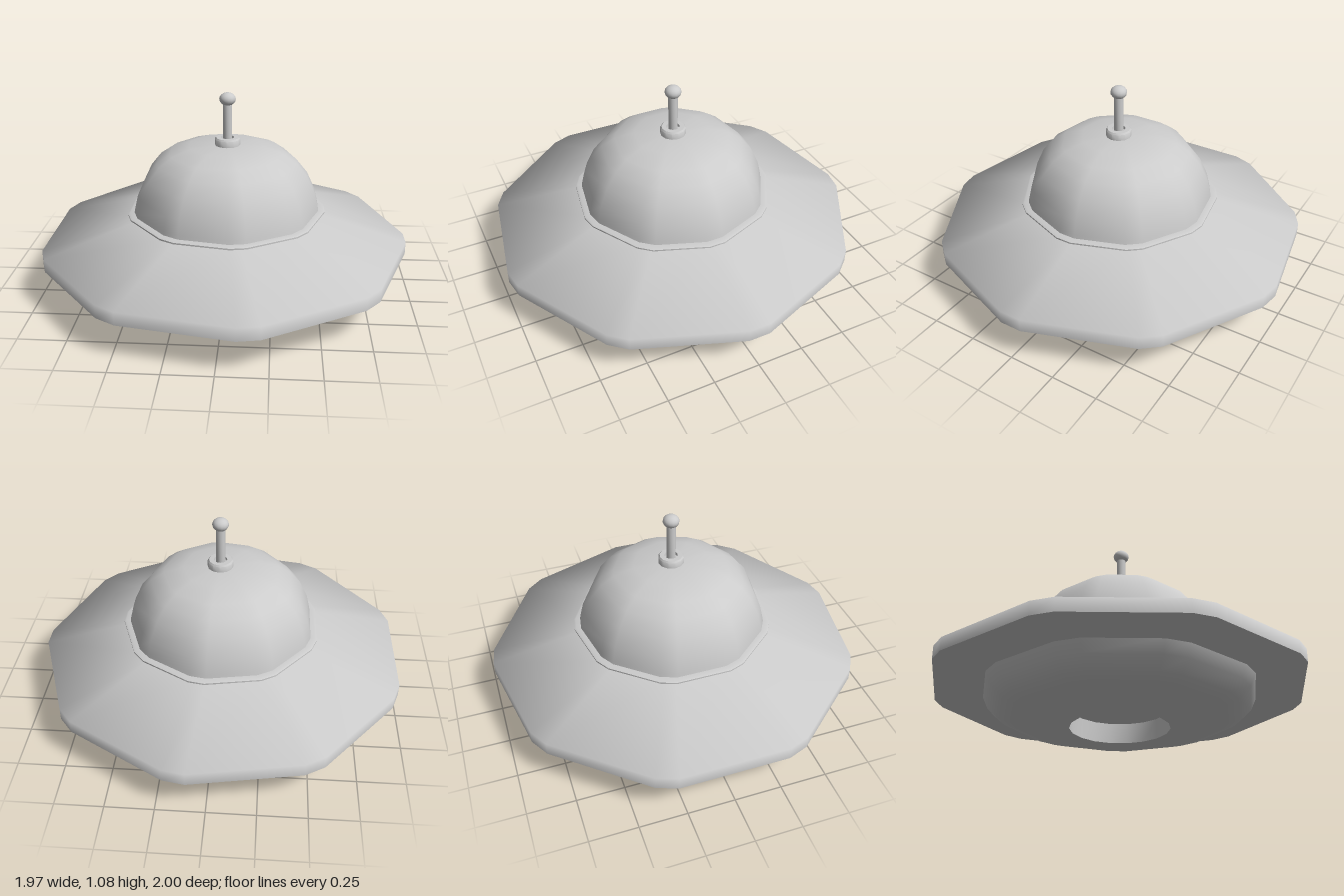
import * as THREE from 'three';
import { toCreasedNormals } from 'three/addons/utils/BufferGeometryUtils.js';

const SIDES = 9;
const material = new THREE.MeshStandardMaterial({ color: 0xcccccc, side: THREE.DoubleSide });

// Nine-sided ring with chamfered corners; half is the chamfer's half angle in degrees
function ring(radius, y, half) {
  const points = [];
  for (let i = 0; i < SIDES; i++) {
    for (const s of [-1, 1]) {
      const a = THREE.MathUtils.degToRad(i * 360 / SIDES + s * half);
      points.push(new THREE.Vector3(radius * Math.cos(a), y, radius * Math.sin(a)));
    }
  }
  return points;
}

// Skin over rings given as [radius, y, half?], running up the outside
function loft(name, profile, half, offsetX, crease) {
  const rings = profile.map(([r, y, h]) => ring(r, y, h ?? half));
  const pos = [];
  const n = SIDES * 2;
  const tri = (...corners) => corners.forEach((v) => pos.push(v.x, v.y, v.z));
  for (let k = 0; k < rings.length - 1; k++) {
    const lo = rings[k], hi = rings[k + 1];
    for (let i = 0; i < n; i++) {
      const j = (i + 1) % n;
      if (profile[k][0] > 0) tri(lo[i], hi[i], lo[j]);
      if (profile[k + 1][0] > 0) tri(lo[j], hi[i], hi[j]);
    }
  }
  const geometry = new THREE.BufferGeometry();
  geometry.setAttribute('position', new THREE.Float32BufferAttribute(pos, 3));
  const mesh = new THREE.Mesh(toCreasedNormals(geometry, THREE.MathUtils.degToRad(crease)), material);
  mesh.name = name;
  mesh.position.x = offsetX;
  return mesh;
}

// Round turned part
function turned(name, profile, segments) {
  const lathe = new THREE.LatheGeometry(profile.map(([r, y]) => new THREE.Vector2(r, y)), segments);
  const mesh = new THREE.Mesh(toCreasedNormals(lathe.toNonIndexed(), 0.8), material);
  mesh.name = name;
  return mesh;
}

export function createModel() {
  const group = new THREE.Group();
  group.name = 'flyingSaucer';

  // Wide sloping brim
  group.add(loft('brim', [
    [0.6, 0.19], [1.007, 0.19], [1.007, 0.26], [0.5, 0.41],
  ], 3.3, -0.021, 80));

  // Belly with a round recess in the bottom
  group.add(loft('belly', [
    [0, 0.11, 10], [0.265, 0.11, 10], [0.265, 0, 10], [0.58, 0.047], [0.645, 0.068],
    [0.71, 0.126], [0.74, 0.192],
  ], 5, -0.015, 40));

  // Thin flared collar round the foot of the dome
  group.add(loft('collar', [
    [0.5, 0.4], [0.515, 0.405], [0.545, 0.418], [0.545, 0.426], [0.535, 0.431], [0.49, 0.431],
  ], 4.5, -0.011, 35));

  // Dome
  group.add(loft('dome', [
    [0.512, 0.42], [0.507, 0.45], [0.488, 0.53], [0.444, 0.626], [0.384, 0.7],
    [0.312, 0.75], [0.204, 0.785], [0, 0.791],
  ], 5, -0.011, 45));

  // Antenna: socket, stalk and knob
  const antenna = new THREE.Group();
  antenna.name = 'antenna';
  antenna.position.x = -0.004;
  antenna.add(turned('antennaSocket', [
    [0.069, 0.78], [0.069, 0.822], [0.062, 0.83], [0.036, 0.83], [0.034, 0.815], [0, 0.815],
  ], 12));
  antenna.add(turned('antennaStalk', [[0.025, 0.8], [0.025, 1.03]], 12));
  const knob = new THREE.Mesh(new THREE.SphereGeometry(0.044, 14, 10), material);
  knob.name = 'antennaKnob';
  knob.scale.y = 0.8;
  knob.position.y = 1.041;
  antenna.add(knob);
  group.add(antenna);

  return group;
}
